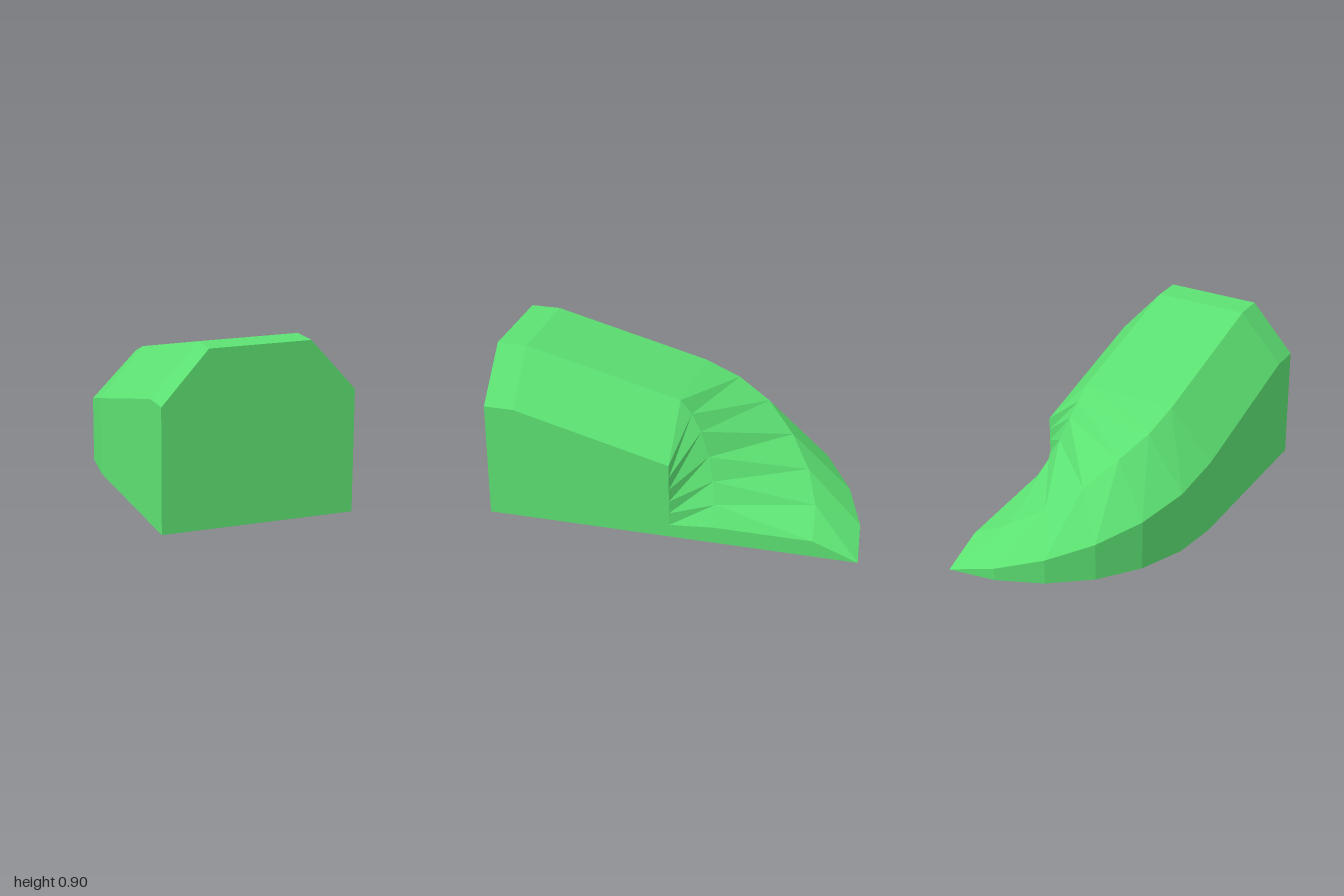
import * as THREE from 'three';

const PIVOT_X = 0.5; // vertical axis of the turn, at z = 0

// Chamfered section; r is the distance from the inner side
function section(shoulder, ridge, place) {
  return [
    [1, 0], [1, shoulder], [0.762, ridge],
    [0.238, ridge], [0, shoulder], [0, 0],
  ].map(([r, y]) => place(r, y));
}

export function createModel() {
  const green = new THREE.MeshStandardMaterial({ color: 0x5ce172 });
  green.name = 'green';

  const sections = [];

  // Straight run: level lip, then a steady slope down
  for (const [z, h] of [[1, 0.633], [0.84, 0.633], [0, 0.42]]) {
    sections.push(section(h, h + 0.264, (r, y) => new THREE.Vector3(PIVOT_X - r, y, z)));
  }

  // Quarter turn in six steps, descending to the ground
  const ridges = [0.616, 0.532, 0.408, 0.295, 0.19, 0.09];
  ridges.forEach((ridge, i) => {
    const k = (i + 1) / 6;
    const t = k * Math.PI / 2;
    sections.push(section(0.42 * (1 - k), ridge, (r, y) =>
      new THREE.Vector3(PIVOT_X - r * Math.cos(t), y, -r * Math.sin(t))));
  });

  const positions = [];
  const tri = (a, b, c) => {
    // The inner side collapses onto the pivot, so drop empty triangles
    const area = b.clone().sub(a).cross(c.clone().sub(a)).length();
    if (area > 1e-7) positions.push(...a, ...b, ...c);
  };

  // Skin between neighbouring sections, underside included
  for (let s = 0; s < sections.length - 1; s++) {
    const a = sections[s], b = sections[s + 1], n = a.length;
    for (let i = 0; i < n; i++) {
      const j = (i + 1) % n;
      tri(a[i], a[j], b[i]);
      tri(a[j], b[j], b[i]);
    }
  }

  // Flat caps at both ends
  const front = sections[0], end = sections[sections.length - 1];
  for (let i = 1; i < front.length - 1; i++) {
    tri(front[0], front[i + 1], front[i]);
    tri(end[0], end[i], end[i + 1]);
  }

  const geometry = new THREE.BufferGeometry();
  geometry.setAttribute('position', new THREE.Float32BufferAttribute(positions, 3));
  geometry.computeVertexNormals();

  const body = new THREE.Mesh(geometry, green);
  body.name = 'curvedRamp';

  const group = new THREE.Group();
  group.name = 'rampCorner';
  group.add(body);
  return group;
}
